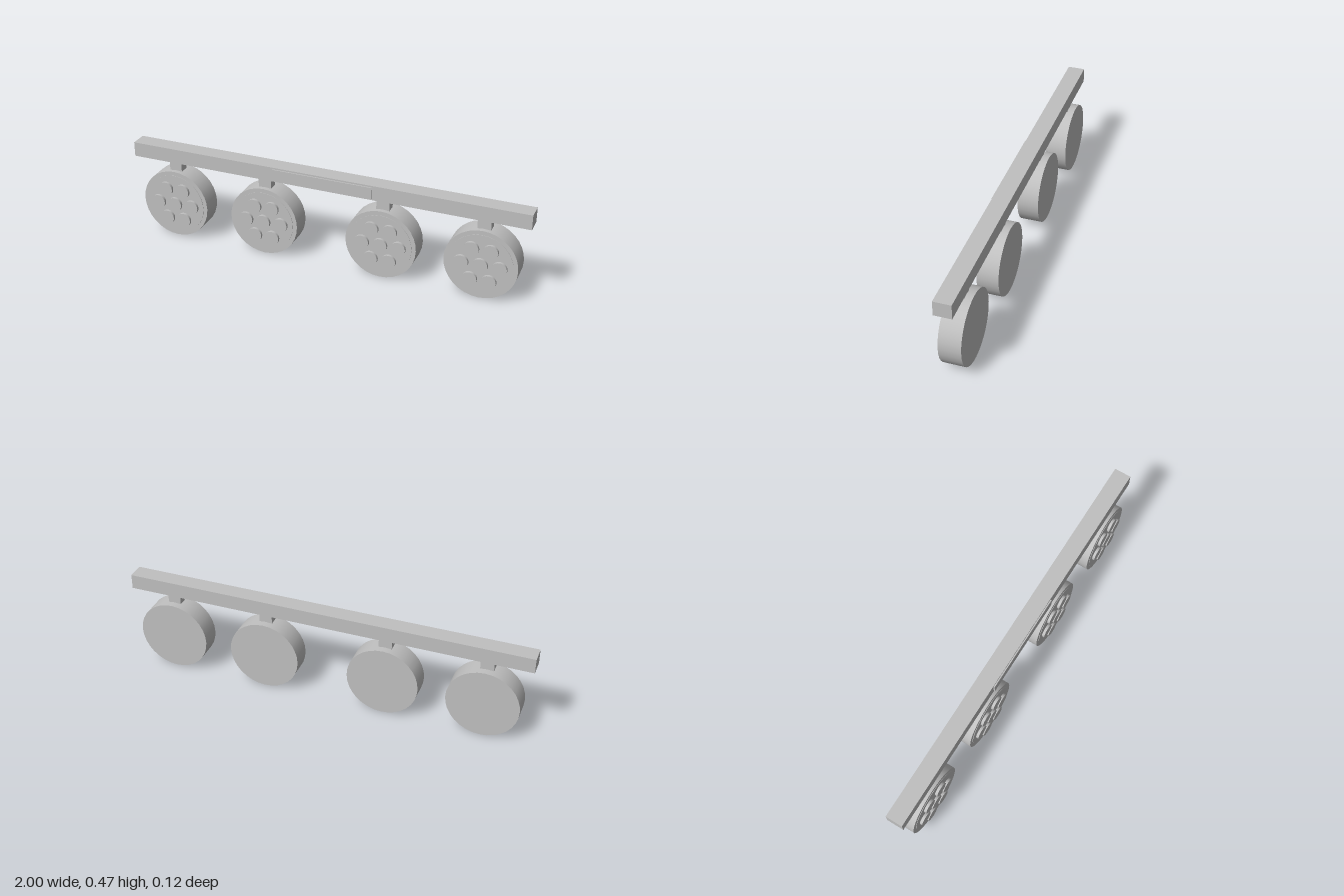
import * as THREE from 'three';

export function createModel() {
  const model = new THREE.Group();
  model.name = 'lightBar';
  const grey = new THREE.MeshStandardMaterial({ color: 0xc0c0c0 });
  grey.name = 'grey';

  const box = (name, parent, x0, x1, y0, y1, z0, z1) => {
    const mesh = new THREE.Mesh(new THREE.BoxGeometry(x1 - x0, y1 - y0, z1 - z0), grey);
    mesh.position.set((x0 + x1) / 2, (y0 + y1) / 2, (z0 + z1) / 2);
    mesh.name = name;
    parent.add(mesh);
  };

  // Cylinder whose axis runs along z
  const disc = (name, parent, r, x, y, z0, z1, sides) => {
    const geometry = new THREE.CylinderGeometry(r, r, z1 - z0, sides).rotateX(Math.PI / 2);
    const mesh = new THREE.Mesh(geometry, grey);
    mesh.position.set(x, y, (z0 + z1) / 2);
    mesh.name = name;
    parent.add(mesh);
  };

  // Mounting rail with its front plate
  box('rail', model, -1, 1, 0.397, 0.47, -0.043, 0.041);
  box('frontPlate', model, -0.25, 0.25, 0.405, 0.462, 0.04, 0.047);

  // Four hanging lamps, each with seven lenses
  for (const x of [-0.783, -0.3, 0.3, 0.783]) {
    const lamp = new THREE.Group();
    lamp.name = 'lamp';
    lamp.position.set(x, 0.175, 0);
    box('stem', lamp, -0.032, 0.032, 0.165, 0.222, -0.024, 0.024);
    disc('housing', lamp, 0.175, 0, 0, -0.059, 0.046, 32);
    disc('facePlate', lamp, 0.154, 0, 0, 0.04, 0.048, 32);
    disc('lens', lamp, 0.036, 0, 0, 0.046, 0.061, 20);
    for (let i = 0; i < 6; i++) {
      const a = (i * Math.PI) / 3;
      disc('lens', lamp, 0.036, 0.091 * Math.cos(a), 0.091 * Math.sin(a), 0.046, 0.061, 20);
    }
    model.add(lamp);
  }
  return model;
}
